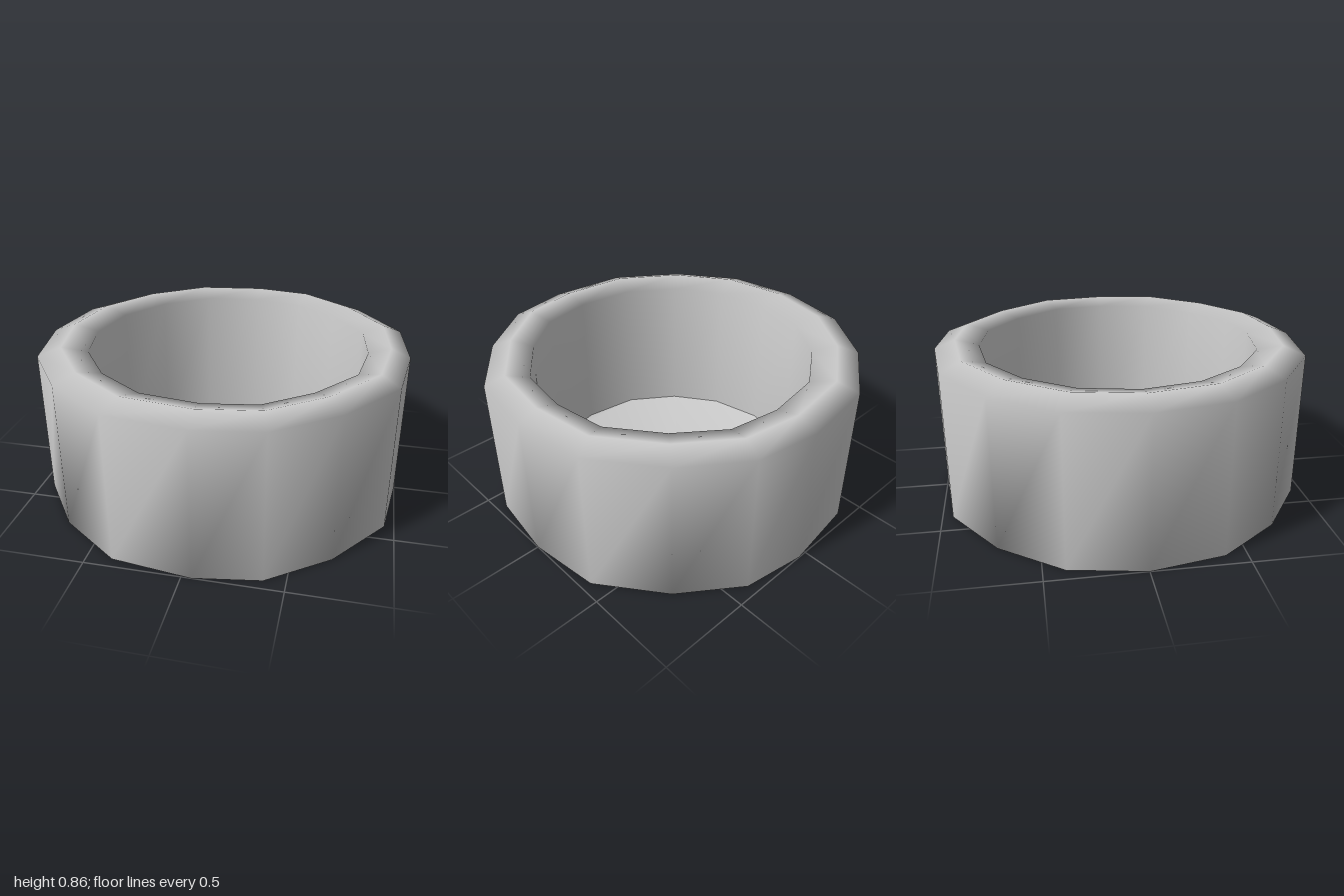
import * as THREE from 'three';

// Half outlines [x, z] from the left edge round the back to the right edge; the front half mirrors them.
const outerHalf = [[-1, 0], [-0.93, -0.39], [-0.7, -0.71], [-0.37, -0.945], [0.05, -1], [0.39, -0.945], [0.7, -0.72], [0.95, -0.39], [1, 0]];
const innerHalf = [[-0.74, 0], [-0.68, -0.295], [-0.51, -0.54], [-0.26, -0.715], [0.05, -0.76], [0.32, -0.715], [0.55, -0.54], [0.74, -0.29], [0.78, 0]];

const closeOutline = (half) => [...half, ...half.slice(1, -1).reverse().map(([x, z]) => [x, -z])];

export function createModel() {
  const outer = closeOutline(outerHalf);
  const inner = closeOutline(innerHalf);
  const sides = outer.length;

  // Cross-section rings: blend from the outer to the inner outline, and height
  const rings = [
    [0, 0], // foot
    [0, 0.81], // top of outer wall
    [0.47, 0.855], // crest of the rim
    [1, 0.82], // inner edge of rim
    [1, 0], // foot of inner wall
  ];
  const positions = [];
  for (const [t, y] of rings) {
    for (let i = 0; i < sides; i++) {
      positions.push(
        THREE.MathUtils.lerp(outer[i][0], inner[i][0], t), y,
        THREE.MathUtils.lerp(outer[i][1], inner[i][1], t),
      );
    }
  }

  // Thin base, one polygon across the foot, then the walls and rim
  const foot = outer.map(([x, z]) => new THREE.Vector2(x, z));
  const index = THREE.ShapeUtils.triangulateShape(foot, []).flat();
  for (let r = 0; r < (rings.length - 1) * sides; r += sides) {
    const up = r + sides;
    for (let i = 0; i < sides; i++) {
      const j = (i + 1) % sides;
      index.push(r + j, r + i, up + i, r + j, up + i, up + j);
    }
  }

  const geometry = new THREE.BufferGeometry();
  geometry.setAttribute('position', new THREE.Float32BufferAttribute(positions, 3));
  geometry.setIndex(index);
  geometry.computeVertexNormals();

  const material = new THREE.MeshStandardMaterial({ color: 0xcccccc, side: THREE.DoubleSide });
  const bowl = new THREE.Mesh(geometry, material);
  bowl.name = 'bowl';
  const group = new THREE.Group();
  group.name = 'thickWalledBowl';
  group.add(bowl);
  return group;
}
